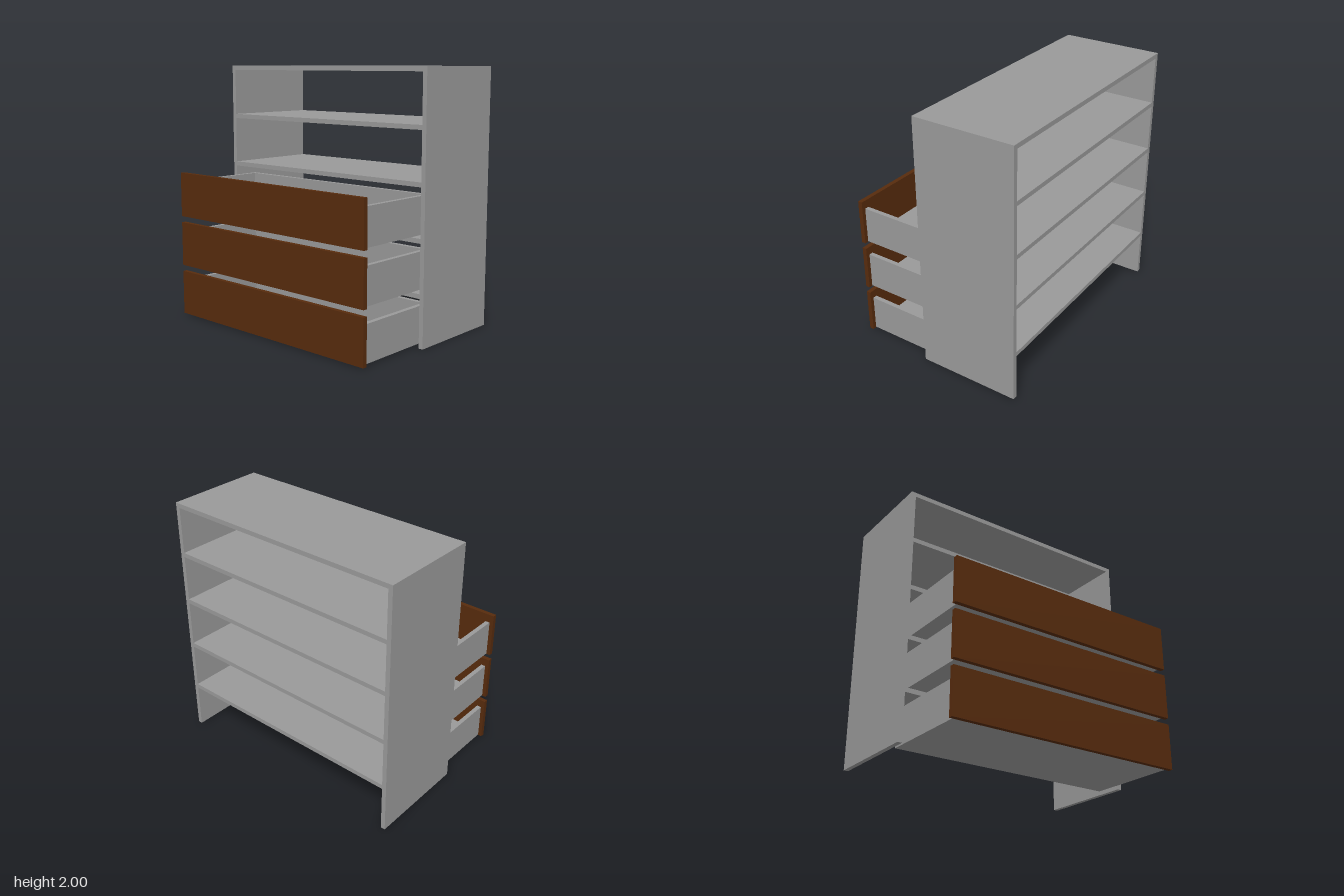
import * as THREE from 'three';

export function createModel() {
  const model = new THREE.Group();
  model.name = 'dresser';

  const grey = new THREE.MeshStandardMaterial({ color: 0x999999 });
  grey.name = 'grey board';
  const brown = new THREE.MeshStandardMaterial({ color: 0x572b0d });
  brown.name = 'brown wood';

  // Board given by its lower and upper corners
  function board(parent, name, material, [x0, y0, z0], [x1, y1, z1]) {
    const geometry = new THREE.BoxGeometry(x1 - x0, y1 - y0, z1 - z0);
    const mesh = new THREE.Mesh(geometry, material);
    mesh.position.set((x0 + x1) / 2, (y0 + y1) / 2, (z0 + z1) / 2);
    mesh.name = name;
    parent.add(mesh);
  }

  const T = 0.035; // board thickness
  const back = -0.7, front = 0.1;

  // Cabinet: two side panels, open at front and back
  const cabinet = new THREE.Group();
  cabinet.name = 'cabinet';
  model.add(cabinet);
  board(cabinet, 'leftPanel', grey, [1 - T, 0, back], [1, 2, front]);
  board(cabinet, 'rightPanel', grey, [-1, 0, back], [-1 + T, 2, front]);

  // Four shelves and the top
  for (let i = 1; i <= 5; i++) {
    const y = i * 0.4;
    board(cabinet, i === 5 ? 'top' : 'shelf', grey, [-1 + T, y - T, back], [1 - T, y, front]);
  }

  // Three pulled-out drawers
  for (let i = 0; i < 3; i++) {
    const drawer = new THREE.Group();
    drawer.name = 'drawer';
    drawer.position.y = i * 0.4;
    model.add(drawer);

    const w = 0.925, low = 0.015, high = 0.295, rear = -0.07, face = 0.665;
    board(drawer, 'drawerFront', brown, [-0.955, 0.01, face], [0.955, 0.36, 0.7]);
    board(drawer, 'drawerLeftSide', grey, [w - T, low, rear], [w, high, face]);
    board(drawer, 'drawerRightSide', grey, [-w, low, rear], [-w + T, high, face]);
    board(drawer, 'drawerBack', grey, [-w + T, low, rear], [w - T, high, rear + T]);
    board(drawer, 'drawerBottom', grey, [-w + T, low, rear + T], [w - T, low + T, face]);
  }

  return model;
}
